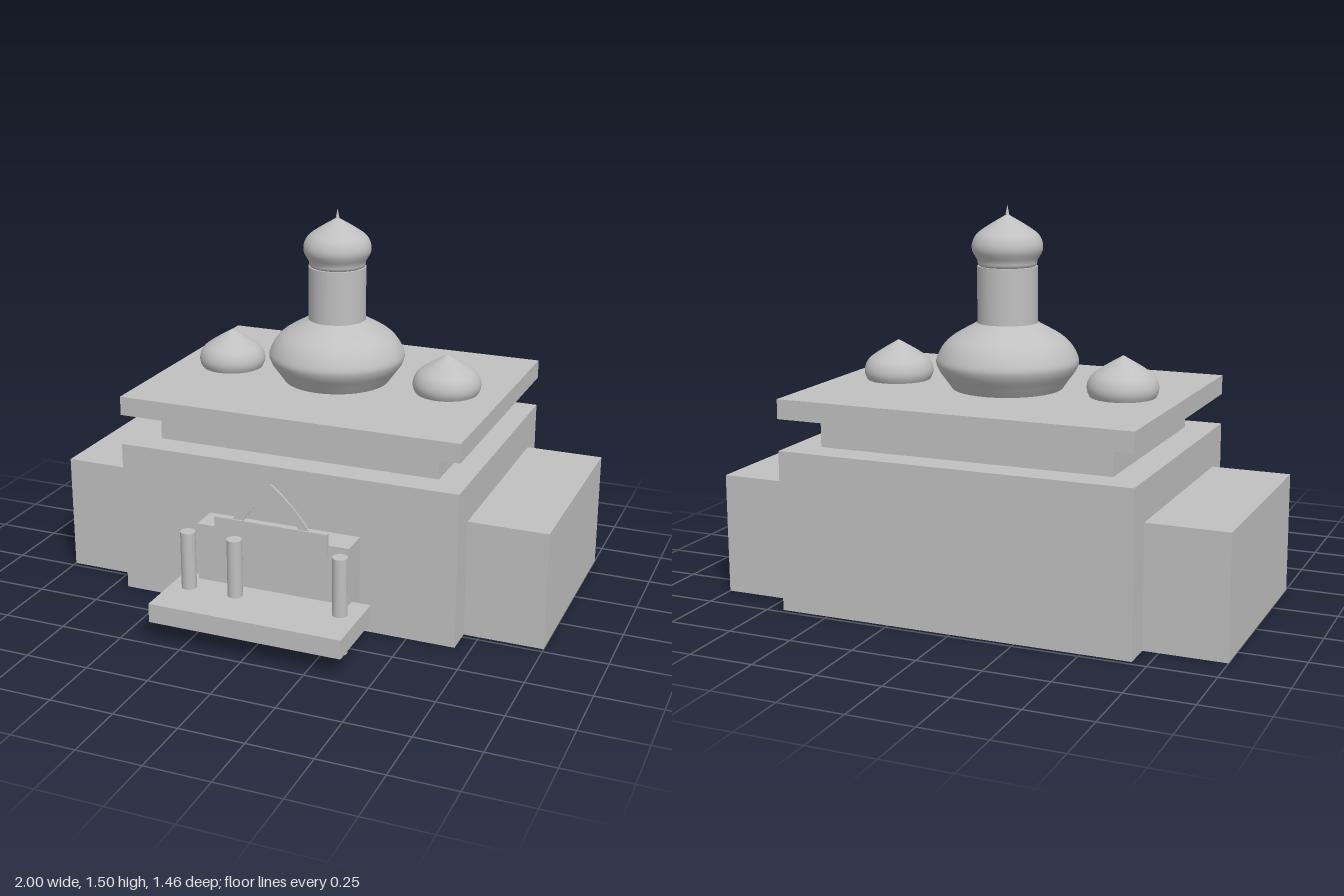
import * as THREE from 'three';

const stone = new THREE.MeshStandardMaterial({ color: 0xc0c0c0 });
stone.name = 'grey stone';

export function createModel() {
  const model = new THREE.Group();
  model.name = 'domedHall';

  const add = (name, geometry, x = 0, y = 0, z = 0) => {
    const mesh = new THREE.Mesh(geometry, stone);
    mesh.name = name;
    mesh.position.set(x, y, z);
    model.add(mesh);
    return mesh;
  };
  // Box given by its limits on each axis
  const box = (name, x0, x1, y0, y1, z0, z1) =>
    add(name, new THREE.BoxGeometry(x1 - x0, y1 - y0, z1 - z0),
      (x0 + x1) / 2, (y0 + y1) / 2, (z0 + z1) / 2);
  // Smooth turned shape from [radius, height] pairs
  const turned = (points) => new THREE.LatheGeometry(
    new THREE.SplineCurve(points.map(([r, y]) => new THREE.Vector2(r, y)))
      .getPoints(24).map((p) => p.setX(Math.max(0, p.x))), 40);

  // Main hall, recessed tier and overhanging roof slab
  box('hall', -0.69, 0.69, 0, 0.615, -0.73, 0.345);
  box('upperTier', -0.575, 0.575, 0.615, 0.715, -0.615, 0.23);
  box('roofSlab', -0.69, 0.69, 0.735, 0.81, -0.73, 0.345);

  // Side wings
  box('leftWing', 0.69, 1, 0, 0.465, -0.615, 0.23);
  box('rightWing', -1, -0.69, 0, 0.465, -0.615, 0.23);

  // Entrance block, porch slab and columns
  box('entranceBlock', -0.31, 0.31, 0, 0.385, 0.345, 0.46);
  box('porchSlab', -0.385, 0.385, 0.08, 0.155, 0.425, 0.73);
  for (const x of [-0.31, -0.117, 0.307]) {
    add('porchColumn', new THREE.CylinderGeometry(0.029, 0.029, 0.385, 24), x, 0.1925, 0.54);
  }

  // Board over the door with a pointed arch on top
  box('doorBoard', -0.23, 0.228, 0.342, 0.433, 0.456, 0.476);
  const arch = new THREE.Shape();
  arch.moveTo(-0.157, 0.43);
  arch.quadraticCurveTo(-0.095, 0.525, 0, 0.597);
  arch.quadraticCurveTo(0.095, 0.525, 0.157, 0.43);
  arch.lineTo(0.115, 0.43);
  arch.quadraticCurveTo(0.07, 0.495, 0, 0.55);
  arch.quadraticCurveTo(-0.07, 0.495, -0.115, 0.43);
  arch.closePath();
  add('pointedArch', new THREE.ExtrudeGeometry(arch,
    { depth: 0.008, bevelEnabled: false, curveSegments: 8 }), 0, 0, 0.462);

  // Central dome, drum, onion cap and spire
  const cz = -0.195;
  add('mainDome', turned([[0.21, 0.81], [0.235, 0.845], [0.265, 0.89], [0.267, 0.93],
    [0.222, 0.996], [0.115, 1.06]]), 0, 0, cz);
  add('drum', new THREE.CylinderGeometry(0.114, 0.114, 0.215, 40), 0, 1.165, cz);
  const onion = turned([[0, 0], [0.1, 0], [0.113, 0.025], [0.132, 0.06], [0.132, 0.09],
    [0.117, 0.12], [0.085, 0.145], [0.04, 0.173], [0, 0.196]]);
  add('onionCap', onion, 0, 1.27, cz);
  add('spire', new THREE.ConeGeometry(0.009, 0.045, 12), 0, 1.4775, cz);

  // Small side domes, partly sunk into the roof slab
  for (const x of [-0.462, 0.462]) add('sideDome', onion, x, 0.768, cz);

  return model;
}
